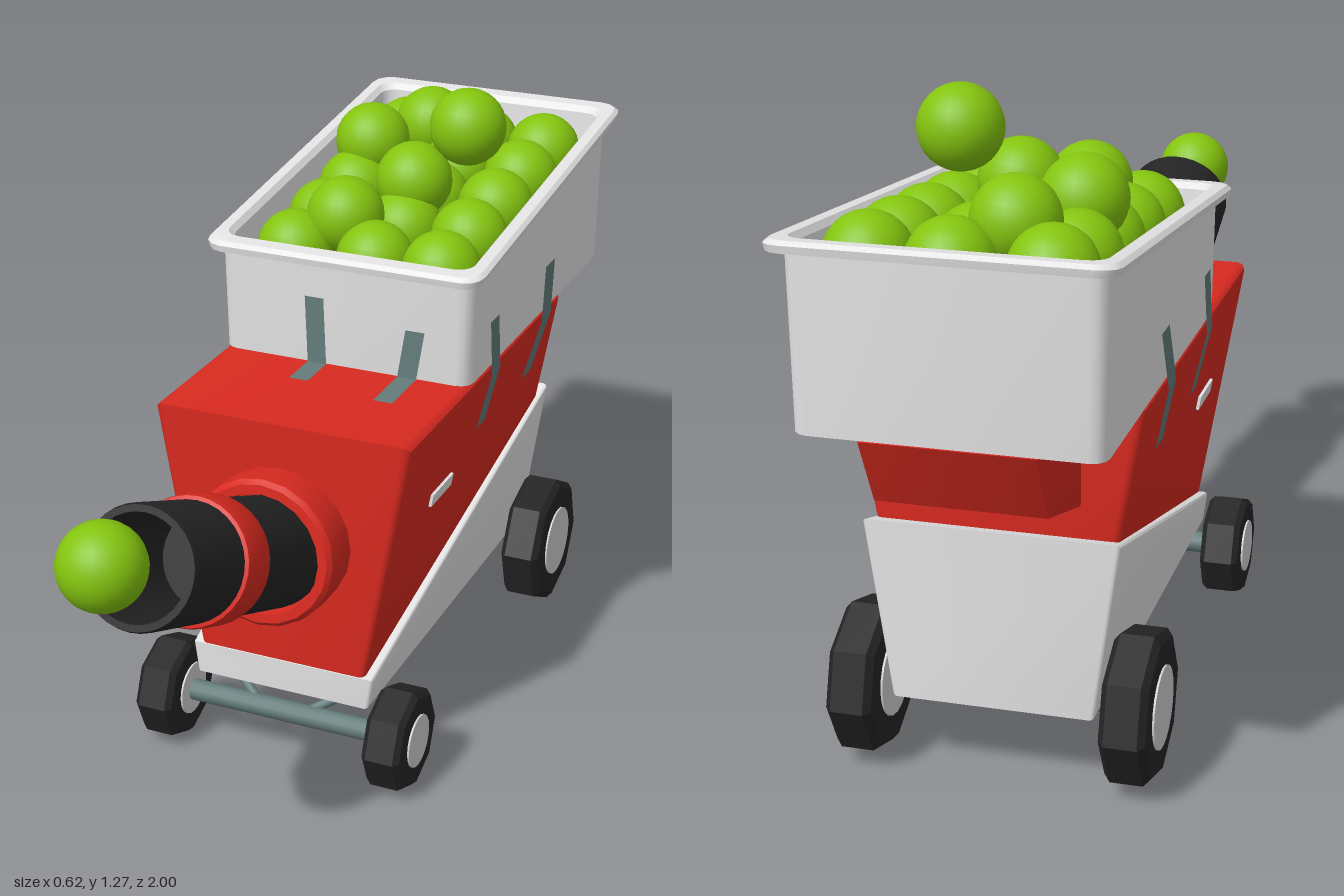
import * as THREE from 'three';
import { toCreasedNormals } from 'three/addons/utils/BufferGeometryUtils.js';

const mat = (name, color, side = THREE.FrontSide) => {
  const m = new THREE.MeshStandardMaterial({ color, side });
  m.name = name;
  return m;
};

export function createModel() {
  const model = new THREE.Group();
  model.name = 'ballLauncher';
  const red = mat('red', 0xd92a20);
  const white = mat('white', 0xe4e4e4);
  const black = mat('black', 0x242424, THREE.DoubleSide);
  const green = mat('green', 0x84c40f);
  const steel = mat('steel', 0x637c7a, THREE.DoubleSide);
  const hubGrey = mat('hubGrey', 0xcfcfcf);
  const V = (x, y, z) => new THREE.Vector3(x, y, z);

  const add = (name, geo, material, parent = model) => {
    const mesh = new THREE.Mesh(geo, material);
    mesh.name = name;
    parent.add(mesh);
    return mesh;
  };

  // Side profile of [z, y] points extruded across x; half width varies with height
  const sideBody = (name, profile, halfAt, bevel, material) => {
    const shape = new THREE.Shape(profile.map(p => new THREE.Vector2(...p)));
    const geo = new THREE.ExtrudeGeometry(shape, {
      depth: 2 * (1 - bevel * 4), bevelEnabled: true, bevelSize: bevel,
      bevelOffset: -bevel, bevelThickness: bevel * 4, bevelSegments: 3,
    });
    geo.translate(0, 0, -(1 - bevel * 4)).rotateY(-Math.PI / 2);
    const p = geo.attributes.position;
    for (let i = 0; i < p.count; i++) p.setX(i, p.getX(i) * halfAt(p.getY(i)));
    return add(name, toCreasedNormals(geo, 0.6), material);
  };

  // Main housing, lower chassis and rear chute
  const redHalf = y => 0.185 + (y - 0.23) * 0.176;
  sideBody('housing', [[0.23, 0.225], [0.23, 0.77], [-0.68, 0.77], [-0.68, 0.5]].reverse(),
    redHalf, 0.018, red);
  sideBody('chassis', [[0.232, 0.165], [0.232, 0.235], [-0.72, 0.52], [-0.72, 0.165]].reverse(),
    y => 0.195 + (y - 0.165) * 0.14, 0.01, white);
  sideBody('rearChute', [[-0.6, 0.765], [-0.95, 0.765], [-0.88, 0.63], [-0.68, 0.57], [-0.6, 0.57]],
    () => 0.16, 0.006, red);

  // Hopper: rounded rectangular rings lofted from underside, over the rim, to the floor
  const top = z => 1.02 - (z + 0.05) * 0.11;
  const ring = (hw, zFront, zBack, r, yAt) => {
    const pts = [], hz = (zFront - zBack) / 2, zc = (zFront + zBack) / 2;
    [[1, 1], [-1, 1], [-1, -1], [1, -1]].forEach(([sx, sz], q) => {
      for (let k = 0; k <= 3; k++) {
        const a = (q + k / 3) * Math.PI / 2;
        const z = zc + sz * (hz - r) + r * Math.sin(a);
        pts.push(V(sx * (hw - r) + r * Math.cos(a), yAt(z), z));
      }
    });
    return pts;
  };
  const loft = rings => {
    const pos = [];
    for (let j = 0; j + 1 < rings.length; j++) {
      const lo = rings[j], hi = rings[j + 1], n = lo.length;
      for (let i = 0; i < n; i++) {
        const k = (i + 1) % n;
        for (const v of [lo[i], hi[i], lo[k], lo[k], hi[i], hi[k]]) pos.push(v.x, v.y, v.z);
      }
    }
    const geo = new THREE.BufferGeometry();
    geo.setAttribute('position', new THREE.Float32BufferAttribute(pos, 3));
    geo.computeVertexNormals();
    return toCreasedNormals(geo, 0.6);
  };
  const base = () => 0.77, floor = z => top(z) - 0.16;
  add('hopper', loft([
    ring(0.001, -0.52, -0.522, 0, base),
    ring(0.277, -0.09, -0.957, 0.03, base),
    ring(0.28, -0.082, -0.962, 0.03, z => top(z) - 0.022),
    ring(0.303, -0.052, -0.998, 0.04, z => top(z) - 0.022),
    ring(0.306, -0.05, -1.0, 0.04, z => top(z) - 0.008),
    ring(0.298, -0.058, -0.992, 0.04, top),
    ring(0.275, -0.088, -0.962, 0.035, top),
    ring(0.265, -0.1, -0.95, 0.03, z => top(z) - 0.012),
    ring(0.255, -0.112, -0.94, 0.03, floor),
    ring(0.001, -0.52, -0.522, 0, floor),
  ]), white);

  // Balls: tilted grid, a loose upper layer and one leaving the barrel
  const ballGeo = new THREE.SphereGeometry(0.082, 24, 16);
  const ball = (x, y, z) => add('ball', ballGeo, green).position.set(x, y, z);
  for (const x of [-0.15, 0.03, 0.178])
    for (const z of [-0.18, -0.34, -0.5, -0.66, -0.815]) ball(x, top(z) - 0.052, z);
  [[-0.06, 1.05, -0.235], [0.03, 1.09, -0.395], [0.125, 1.2, -0.46],
    [-0.135, 1.11, -0.56], [-0.06, 1.11, -0.73], [-0.015, 0.793, 0.918]].forEach(p => ball(...p));

  // Barrel: local y runs along the barrel, tilted forward and up
  const barrel = new THREE.Group();
  barrel.name = 'barrel';
  barrel.position.set(0, 0.45, 0.13);
  barrel.rotation.x = Math.PI / 2 - 0.403;
  model.add(barrel);
  const lathe = (pts, n) => toCreasedNormals(
    new THREE.LatheGeometry(pts.map(p => new THREE.Vector2(...p)), n), 0.6);
  add('barrelTube', lathe([[0.114, 0], [0.116, 0.745], [0.113, 0.755], [0.1, 0.755],
    [0.098, 0.45], [0, 0.45]], 32), black, barrel);
  add('barrelBand', lathe([[0.11, 0.445], [0.123, 0.448], [0.126, 0.46], [0.126, 0.533],
    [0.123, 0.545], [0.11, 0.548]], 32), red, barrel);

  // Collar where the barrel leaves the housing
  const collar = add('barrelCollar', lathe([[0.15, -0.04], [0.158, 0.09], [0.156, 0.115],
    [0.147, 0.125], [0.128, 0.125], [0.118, 0.02], [0, 0.02]], 20), red);
  collar.position.set(0, 0.52, 0.208);
  collar.rotation.x = Math.PI / 2 - 0.1;

  // Wheels: faceted tyre with a round hub
  const wheel = (name, x, y, z, R, hubR, w, turn) => {
    const g = new THREE.Group();
    g.name = name;
    g.position.set(x, y, z);
    model.add(g);
    const tyre = new THREE.LatheGeometry([[0, -w], [R * 0.9, -w], [R, -w * 0.72], [R, w * 0.72],
      [R * 0.9, w], [0, w]].map(p => new THREE.Vector2(...p)), 8).toNonIndexed();
    tyre.computeVertexNormals();
    tyre.rotateY(turn).rotateZ(Math.PI / 2);
    add('tyre', tyre, black, g);
    add('hub', new THREE.CylinderGeometry(hubR, hubR, w * 2 + 0.008, 20).rotateZ(Math.PI / 2), hubGrey, g);
  };
  for (const s of [-1, 1]) {
    wheel('frontWheel', s * 0.257 + 0.006, 0.118, 0.23, 0.11, 0.056, 0.041, 0);
    wheel('rearWheel', s * 0.262 + 0.003, 0.165, -0.635, 0.15, 0.08, 0.044, 0.1);
  }

  // Axles and front struts
  const rod = (name, a, b, r) => {
    const d = b.clone().sub(a);
    const m = add(name, new THREE.CylinderGeometry(r, r, d.length(), 12), steel);
    m.position.copy(a).addScaledVector(d, 0.5);
    m.quaternion.setFromUnitVectors(V(0, 1, 0), d.normalize());
  };
  rod('frontAxle', V(-0.25, 0.115, 0.23), V(0.25, 0.115, 0.23), 0.023);
  rod('rearAxle', V(-0.25, 0.163, -0.635), V(0.25, 0.163, -0.635), 0.022);
  for (const s of [-1, 1]) rod('frontStrut', V(s * 0.15, 0.172, 0.17), V(s * 0.05, 0.12, 0.23), 0.01);

  // Bent metal straps holding the hopper
  const strap = (name, pts, wide) => {
    const pos = [];
    for (let i = 0; i + 1 < pts.length; i++) {
      const q = [pts[i], pts[i + 1]].flatMap(p => [p.clone().sub(wide), p.clone().add(wide)]);
      for (const k of [0, 1, 2, 2, 1, 3]) pos.push(q[k].x, q[k].y, q[k].z);
    }
    const geo = new THREE.BufferGeometry();
    geo.setAttribute('position', new THREE.Float32BufferAttribute(pos, 3));
    geo.computeVertexNormals();
    add(name, geo, steel);
  };
  for (const s of [-1, 1]) {
    for (const [z, lean] of [[-0.212, 0], [-0.502, -0.065]])
      strap('sideStrap', [V(s * 0.262, 0.635, z), V(s * 0.293, 0.765, z + lean / 2),
        V(s * 0.287, 0.88, z + lean)], V(0, 0, lean ? 0.03 : 0.025));
    // Small side plate
    const plate = add('sidePlate', new THREE.BoxGeometry(0.008, 0.028, 0.115), white);
    plate.position.set(s * (redHalf(0.562) + 0.002), 0.562, -0.027);
    plate.rotation.z = -s * 0.174;
  }
  for (const [x, yTop, zEnd, lean] of [[-0.055, 0.92, 0.02, -0.008], [0.147, 0.88, 0.055, 0.015]])
    strap('frontStrap', [V(x, 0.776, zEnd), V(x, 0.776, -0.074), V(x + lean, yTop, -0.078)], V(0.021, 0, 0));

  return model;
}
